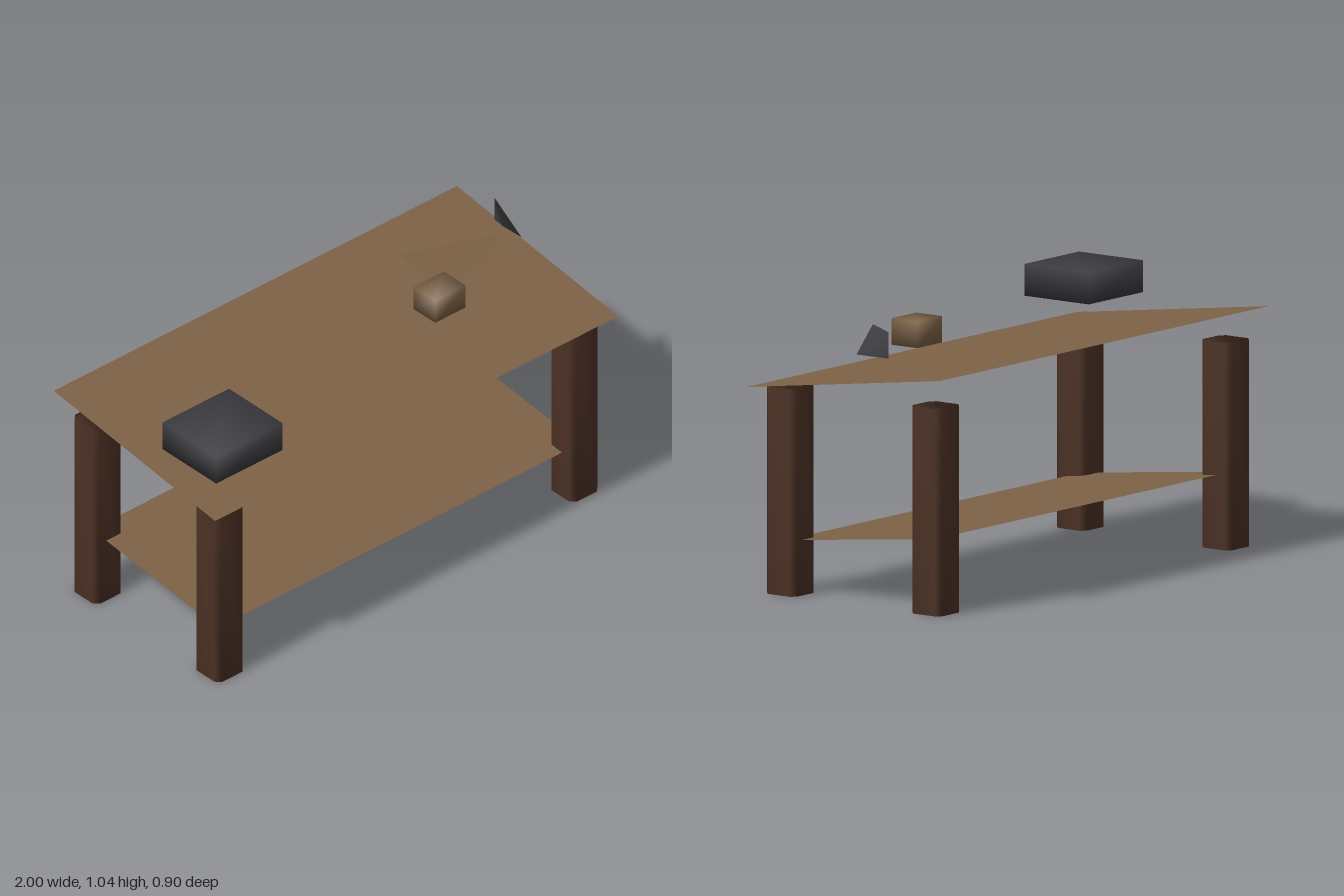
import * as THREE from 'three';
import { mergeVertices } from 'three/addons/utils/BufferGeometryUtils.js';

const wood = new THREE.MeshStandardMaterial({ color: 0x7d6246, side: THREE.DoubleSide });
const darkWood = new THREE.MeshStandardMaterial({ color: 0x4a3024 });
const metal = new THREE.MeshStandardMaterial({ color: 0x3c3c41, side: THREE.DoubleSide });

// Share vertices so that the shading runs smoothly round the corners
function smooth(geometry) {
  geometry.deleteAttribute('normal');
  geometry.deleteAttribute('uv');
  const merged = mergeVertices(geometry);
  merged.computeVertexNormals();
  return merged;
}

// Thin four-cornered sheet, corners counter-clockwise
function sheet(a, b, c, d) {
  const g = new THREE.BufferGeometry();
  g.setAttribute('position', new THREE.Float32BufferAttribute([...a, ...b, ...c, ...d], 3));
  g.setIndex([0, 1, 2, 0, 2, 3]);
  g.computeVertexNormals();
  return g;
}

// Smooth-shaded box given by its limits
function block([x0, x1], [y0, y1], [z0, z1]) {
  return smooth(new THREE.BoxGeometry(x1 - x0, y1 - y0, z1 - z0))
    .translate((x0 + x1) / 2, (y0 + y1) / 2, (z0 + z1) / 2);
}

// Square post with chamfered corners, standing on y = 0
function post(half, chamfer, height) {
  const k = half - chamfer;
  const outline = new THREE.Shape([
    [half, -k], [half, k], [k, half], [-k, half],
    [-half, k], [-half, -k], [-k, -half], [k, -half],
  ].map(([x, y]) => new THREE.Vector2(x, y)));
  const g = new THREE.ExtrudeGeometry(outline, { depth: height, bevelEnabled: false });
  return smooth(g.rotateX(-Math.PI / 2));
}

export function createModel() {
  const group = new THREE.Group();
  const add = (name, geometry, material) => {
    const mesh = new THREE.Mesh(geometry, material);
    mesh.name = name;
    group.add(mesh);
    return mesh;
  };

  // Sloping boards, each in two halves that meet at x = 0, higher at the back
  const board = (name, halfX, halfZ, front, back) => {
    for (const [side, x0, x1] of [['Right', -halfX, 0], ['Left', 0, halfX]]) {
      add(name + side, sheet(
        [x0, front, halfZ], [x1, front, halfZ], [x1, back, -halfZ], [x0, back, -halfZ]), wood);
    }
  };
  board('tableTop', 1, 0.45, 0.78, 0.9);
  board('shelf', 0.9, 0.35, 0.2, 0.28);

  // Legs
  const legGeometry = post(0.07, 0.02, 0.78);
  for (const x of [-0.88, 0.88]) {
    for (const z of [-0.34, 0.34]) {
      const name = (z > 0 ? 'front' : 'back') + (x > 0 ? 'Left' : 'Right') + 'Leg';
      add(name, legGeometry, darkWood).position.set(x, 0, z);
    }
  }

  // Things on the table
  add('darkBox', block([-0.95, -0.62], [0.9, 1.02], [0.1, 0.4]), metal);
  add('woodBlock', block([0.35, 0.5], [0.9, 1.0], [0.04, 0.16]), wood);
  add('handleSheet', sheet(
    [0.5, 0.9, 0.04], [0.9, 0.9, -0.04], [0.9, 0.9, -0.12], [0.5, 0.95, -0.2]), wood);
  add('bladeSheet', sheet(
    [0.92, 0.94, 0], [0.92, 0.94, -0.15], [0.92, 1.04, -0.15], [0.82, 1.04, 0]), metal);

  return group;
}
